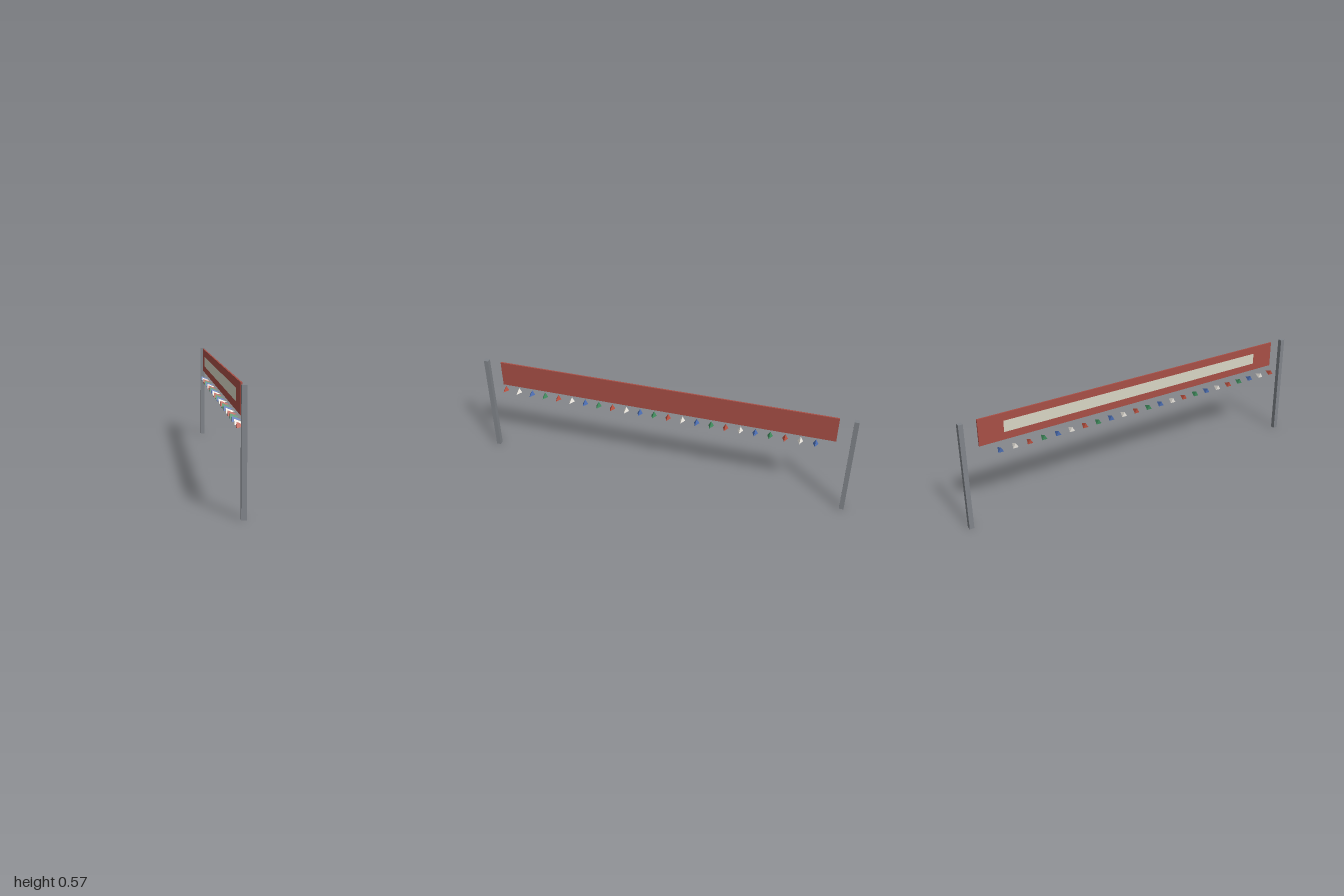
import * as THREE from 'three';

const material = (color) => new THREE.MeshStandardMaterial({ color, flatShading: true });

export function createModel() {
  const model = new THREE.Group();
  const add = (name, geometry, mat, x, y, z, parent = model) => {
    const mesh = new THREE.Mesh(geometry, mat);
    mesh.name = name;
    mesh.position.set(x, y, z);
    parent.add(mesh);
    return mesh;
  };

  // Square posts at both ends
  const height = 0.567;
  const postGeometry = new THREE.BoxGeometry(0.024, height, 0.024);
  const postMaterial = material(0x80848a);
  add('frontPost', postGeometry, postMaterial, 0, height / 2, 0.988);
  add('backPost', postGeometry, postMaterial, 0, height / 2, -0.988);

  // Long banner with a pale strip on its -x face
  const bannerY = 0.497;
  add('banner', new THREE.BoxGeometry(0.008, 0.14, 1.81), material(0xa84f46), 0, bannerY, 0);
  const strip = new THREE.PlaneGeometry(1.55, 0.06).rotateY(-Math.PI / 2);
  add('bannerStrip', strip, material(0xd8d6c4), -0.0055, bannerY, 0);

  // Row of three-sided pennants pointing to +x, one corner up
  const pennants = new THREE.Group();
  pennants.name = 'pennants';
  model.add(pennants);
  const pennantGeometry = new THREE.ConeGeometry(0.017, 0.042, 3)
    .rotateX(-Math.PI / 2)
    .rotateY(-Math.PI / 2);
  const colors = [0xb8503f, 0xe8e4dc, 0x4a6cb0, 0x3f8a5c].map(material);
  for (let i = 0; i < 23; i++) {
    add('pennant', pennantGeometry, colors[i % 4], 0, 0.3835, 0.904 - i * 0.0777, pennants);
  }

  return model;
}
